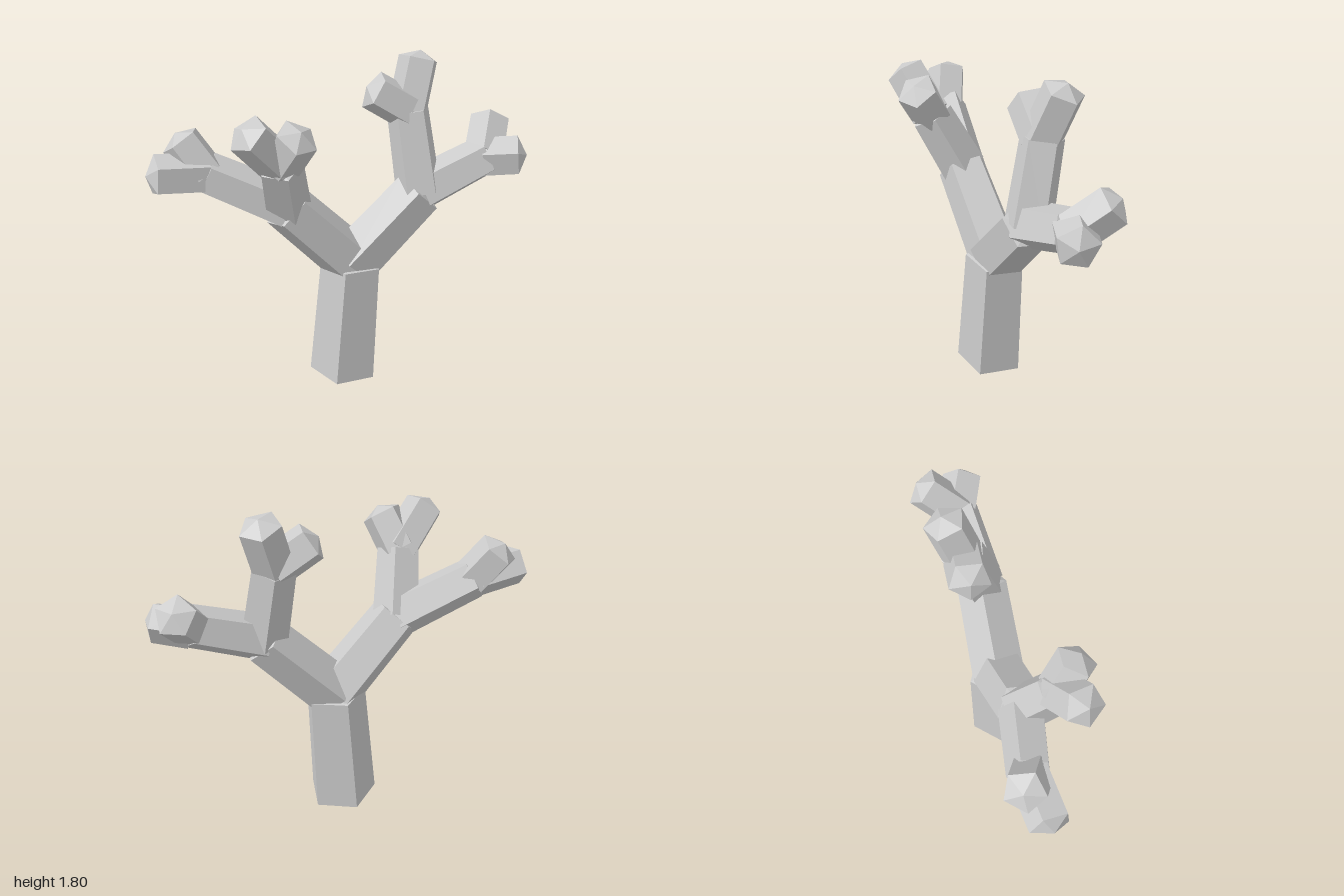
import * as THREE from 'three';

const V = (a) => new THREE.Vector3(...a);

// Five-sided tapered limb from a to b, with a low pointed cap; angle places one of its edges.
function limb(name, a, b, r0, r1, cap, angle, material) {
  const axis = V(b).sub(V(a));
  const len = axis.length();
  const profile = [[0, 0], [r0, 0], [r1, len], [0, len + cap]]
    .map(([x, y]) => new THREE.Vector2(x, y));
  const phi = THREE.MathUtils.degToRad(90 - angle);
  const mesh = new THREE.Mesh(new THREE.LatheGeometry(profile, 5, phi), material);
  mesh.name = name;
  mesh.position.copy(V(a));
  mesh.quaternion.setFromUnitVectors(new THREE.Vector3(0, 1, 0), axis.normalize());
  return mesh;
}

// Each branch: end point and edge angle, then the branches growing from its end.
const TREE = {
  name: 'trunk', end: [0.045, 0.70, -0.02], angle: 106, kids: [
    { name: 'rightBough', end: [-0.30, 1.09, 0.08], angle: 106, kids: [
      { name: 'rightOuterBranch', end: [-0.70, 1.29, 0.08], angle: 122, kids: [
        { name: 'rightOuterLowTwig', end: [-0.95, 1.32, 0.155], angle: 106 },
        { name: 'rightOuterHighTwig', end: [-0.82, 1.46, 0.04], angle: 106 },
      ] },
      { name: 'rightFrontBranch', end: [-0.33, 1.40, 0.24], angle: 73, kids: [
        { name: 'rightFrontOuterTwig', end: [-0.48, 1.60, 0.34], angle: 90 },
        { name: 'rightFrontInnerTwig', end: [-0.245, 1.57, 0.33], angle: 90 },
      ] },
    ] },
    { name: 'leftBough', end: [0.41, 1.08, -0.08], angle: 106, kids: [
      { name: 'leftUprightBranch', end: [0.35, 1.51, -0.16], angle: 126, kids: [
        { name: 'leftTallTwig', end: [0.41, 1.76, -0.24], angle: 126 },
        { name: 'leftInnerTwig', end: [0.165, 1.63, -0.14], angle: 106 },
      ] },
      { name: 'leftOuterBranch', end: [0.77, 1.22, -0.18], angle: 130, kids: [
        { name: 'leftOuterLowTwig', end: [0.95, 1.24, -0.14], angle: 130 },
        { name: 'leftOuterBackTwig', end: [0.83, 1.37, -0.35], angle: 106 },
      ] },
    ] },
  ],
};

// Start and end radius for each level of branching.
const RADII = [[0.19, 0.168], [0.15, 0.137], [0.127, 0.115], [0.11, 0.108]];

export function createModel() {
  const group = new THREE.Group();
  group.name = 'bareTree';
  const bark = new THREE.MeshStandardMaterial({ color: 0xcccccc });
  bark.name = 'paleGreyBark';
  bark.flatShading = true;

  function grow(branch, start, level) {
    const [r0, r1] = RADII[level];
    const cap = level === 3 ? 0.045 : 0.02;
    group.add(limb(branch.name, start, branch.end, r0, r1, cap, branch.angle, bark));
    (branch.kids || []).forEach((kid) => grow(kid, branch.end, level + 1));
  }
  grow(TREE, [0, 0.02, 0], 0);
  return group;
}
